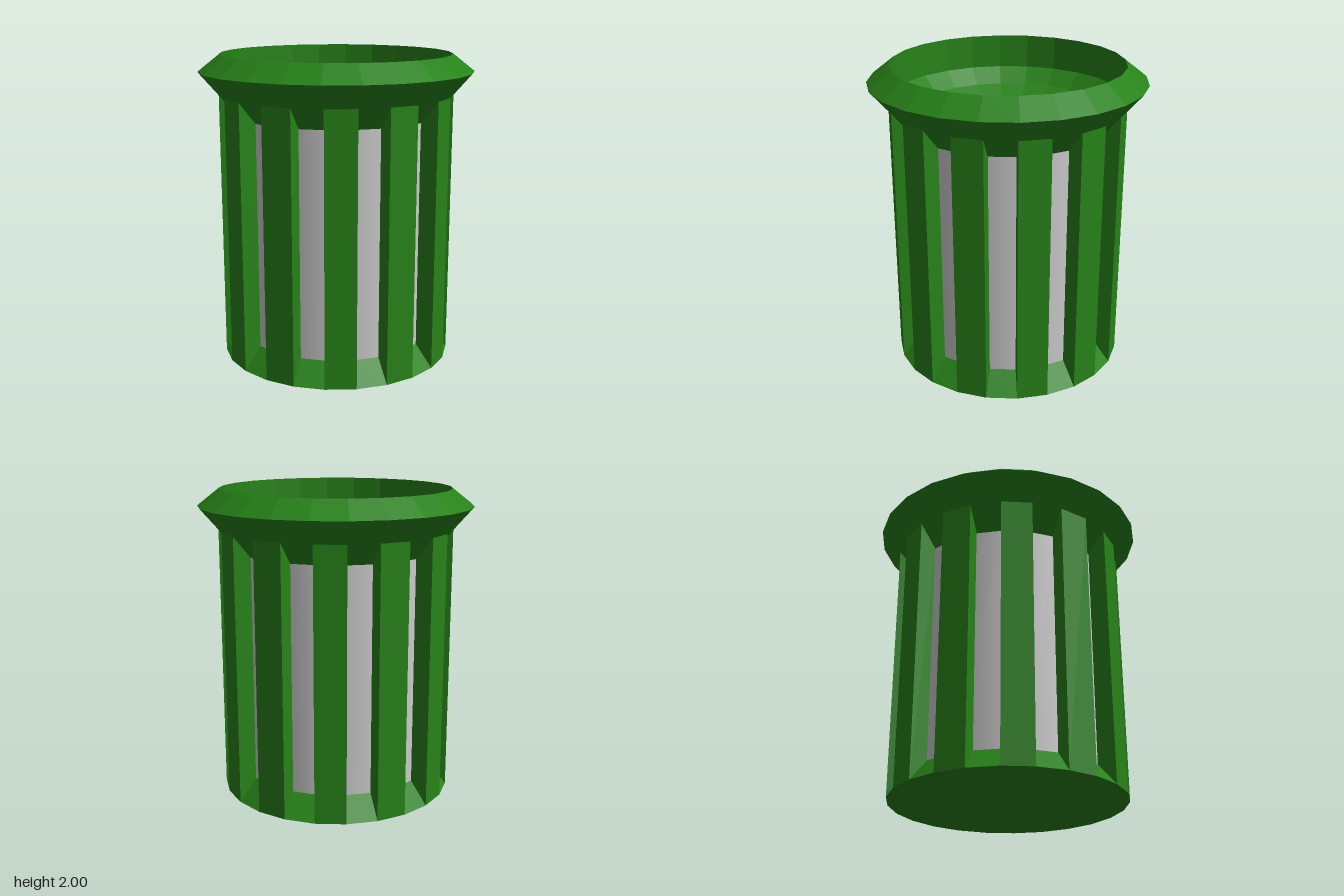
import * as THREE from 'three';

const SIDES = 24;
const STEP = (Math.PI * 2) / SIDES;
const R_OUT = 0.76; // outer face of the slats
const R_IN = 0.64;  // liner behind the slats

export function createModel() {
  const group = new THREE.Group();
  const green = new THREE.MeshStandardMaterial({ color: 0x278219, flatShading: true });
  const grey = new THREE.MeshStandardMaterial({ color: 0xcccccc });
  const black = new THREE.MeshStandardMaterial({ color: 0x141414 });

  const add = (name, geometry, material, parent = group) => {
    const mesh = new THREE.Mesh(geometry, material);
    mesh.name = name;
    parent.add(mesh);
    return mesh;
  };
  const lathe = (points) =>
    new THREE.LatheGeometry(points.map(([r, y]) => new THREE.Vector2(r, y)), SIDES);

  // Base: flat underside with a bevel rising to the liner
  add('base', lathe([[0, 0], [R_OUT, 0], [R_IN, 0.14]]), green);

  // Flared rim, folding over into the funnel
  add('rim', lathe([
    [R_IN, 1.6], [R_OUT, 1.74], [0.89, 1.89], [0.75, 2],
    [0.75, 1.78], [0.65, 1.68], [0.443, 1.56],
  ]), green);

  // Liner seen between the slats
  const liner = new THREE.CylinderGeometry(R_IN, R_IN, 1.46, SIDES, 1, true);
  add('liner', liner, grey).position.y = 0.87;

  // Dark opening at the bottom of the funnel
  const opening = add('opening', new THREE.CircleGeometry(0.443, SIDES), black);
  opening.rotation.x = -Math.PI / 2;
  opening.position.y = 1.56;

  // One slat: a box bent to the wall, its ends following the base and rim slopes
  const slat = new THREE.BoxGeometry(1, 1, 1);
  const p = slat.attributes.position;
  for (let i = 0; i < p.count; i++) {
    const angle = p.getX(i) > 0 ? STEP : 0;
    const outer = p.getZ(i) > 0;
    const r = outer ? R_OUT : R_IN;
    const y = p.getY(i) > 0 ? (outer ? 1.74 : 1.6) : (outer ? 0 : 0.14);
    p.setXYZ(i, r * Math.sin(angle), y, r * Math.cos(angle));
  }
  slat.computeVertexNormals();

  // Slats fill every second side
  const slats = new THREE.Group();
  slats.name = 'slats';
  group.add(slats);
  for (let i = 0; i < SIDES; i += 2) {
    add('slat', slat, green, slats).rotation.y = i * STEP;
  }

  return group;
}
